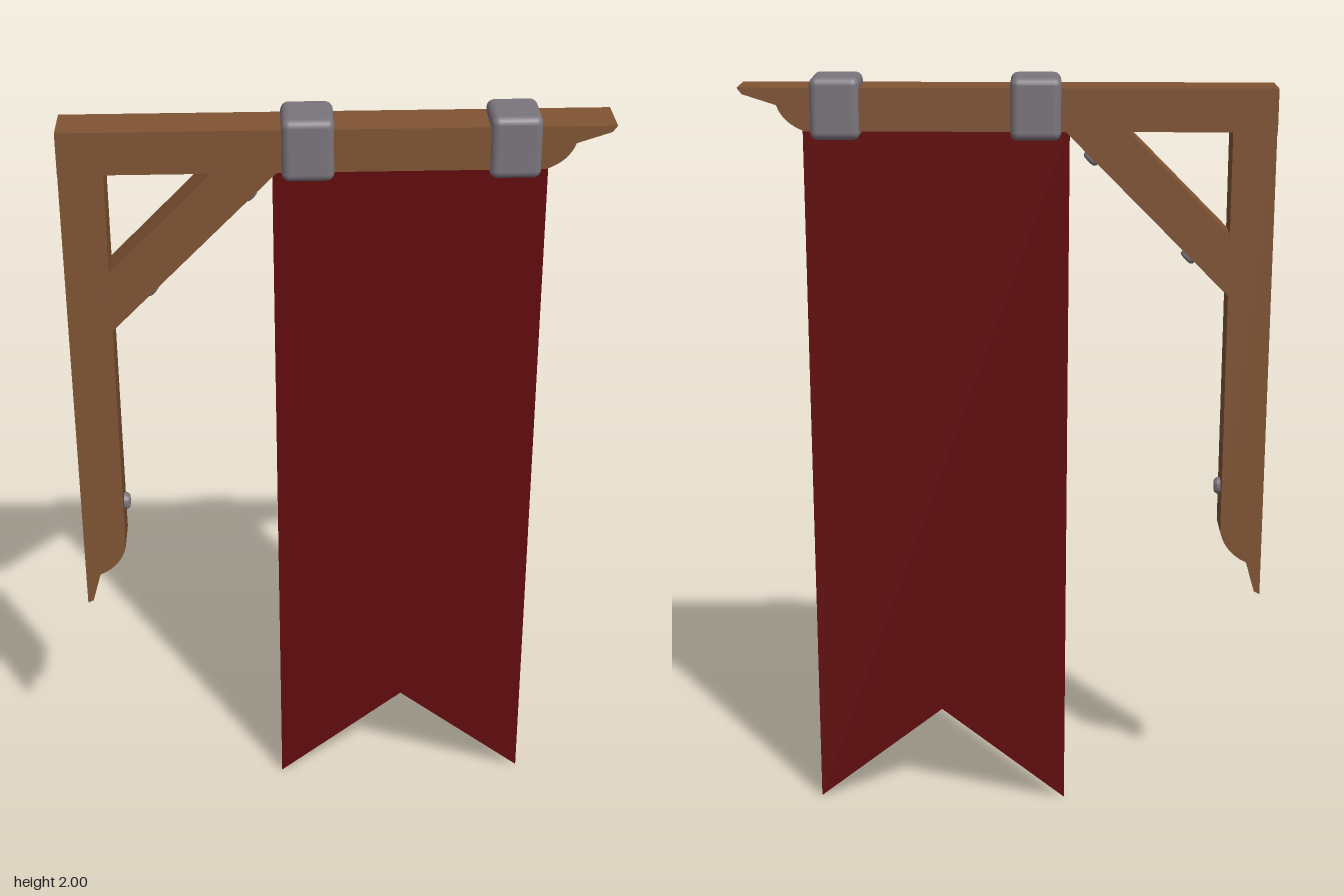
import * as THREE from 'three';
import { RoundedBoxGeometry } from 'three/addons/geometries/RoundedBoxGeometry.js';
import { toCreasedNormals } from 'three/addons/utils/BufferGeometryUtils.js';

const material = (name, color, side = THREE.FrontSide) => {
  const m = new THREE.MeshStandardMaterial({ color, side });
  m.name = name;
  return m;
};

export function createModel() {
  const group = new THREE.Group();
  group.name = 'hangingBanner';
  const wood = material('wood', 0x805434);
  const iron = material('iron', 0x7b747c);
  const cloth = material('red cloth', 0x620c0e, THREE.DoubleSide);

  const add = (name, geometry, mat) => {
    const mesh = new THREE.Mesh(geometry, mat);
    mesh.name = name;
    group.add(mesh);
    return mesh;
  };

  // Timber cut from a side profile, spanning z0 to z1
  const timber = (name, shape, z0, z1) => {
    const g = new THREE.ExtrudeGeometry(shape, { depth: z1 - z0, bevelEnabled: false, curveSegments: 8 });
    g.translate(0, 0, z0);
    return add(name, toCreasedNormals(g, 0.5), wood);
  };

  // Horizontal beam with a carved tip
  const beam = new THREE.Shape();
  beam.moveTo(-0.675, 1.865);
  beam.lineTo(0.505, 1.865);
  beam.quadraticCurveTo(0.56, 1.885, 0.575, 1.93);
  beam.lineTo(0.66, 1.957);
  beam.lineTo(0.672, 1.973);
  beam.lineTo(-0.675, 1.973);
  timber('beam', beam, -0.067, 0.06);

  // Upright post with a matching carved foot
  const post = new THREE.Shape();
  post.moveTo(-0.675, 1.865);
  post.lineTo(-0.675, 0.63);
  post.lineTo(-0.66, 0.638);
  post.lineTo(-0.637, 0.72);
  post.quadraticCurveTo(-0.58, 0.745, -0.565, 0.805);
  post.lineTo(-0.565, 1.865);
  timber('post', post, -0.055, 0.055);

  // Diagonal brace
  const brace = new THREE.Shape();
  brace.moveTo(-0.565, 1.445);
  brace.lineTo(-0.145, 1.865);
  brace.lineTo(-0.305, 1.865);
  brace.lineTo(-0.565, 1.605);
  timber('brace', brace, -0.054, 0.054);

  // Swallow-tailed banner
  const banner = new THREE.Shape();
  banner.moveTo(-0.158, 1.868);
  banner.lineTo(-0.158, 0);
  banner.lineTo(0.18, 0.265);
  banner.lineTo(0.518, 0);
  banner.lineTo(0.518, 1.868);
  add('banner', new THREE.ShapeGeometry(banner), cloth);

  // Iron bands around the beam
  [[-0.072, 0.128, 0.156], [0.43, 0.126, 0.152]].forEach(([x, width, depth]) => {
    const band = add('band', new RoundedBoxGeometry(width, 0.157, depth, 3, 0.02), iron);
    band.position.set(x, 1.921, -0.003);
  });

  // Bolt heads on the post and the underside of the brace
  const head = [[0, -0.01], [0.022, -0.01], [0.022, 0.009], [0.017, 0.015], [0, 0.017]]
    .map(([r, y]) => new THREE.Vector2(r, y));
  const boltGeometry = toCreasedNormals(new THREE.LatheGeometry(head, 16), 0.7);
  [[-0.565, 0.918, -Math.PI / 2], [-0.469, 1.541, -Math.PI * 0.75], [-0.217, 1.793, -Math.PI * 0.75]]
    .forEach(([x, y, turn]) => {
      const bolt = add('bolt', boltGeometry, iron);
      bolt.position.set(x, y, 0);
      bolt.rotation.z = turn;
    });

  return group;
}
